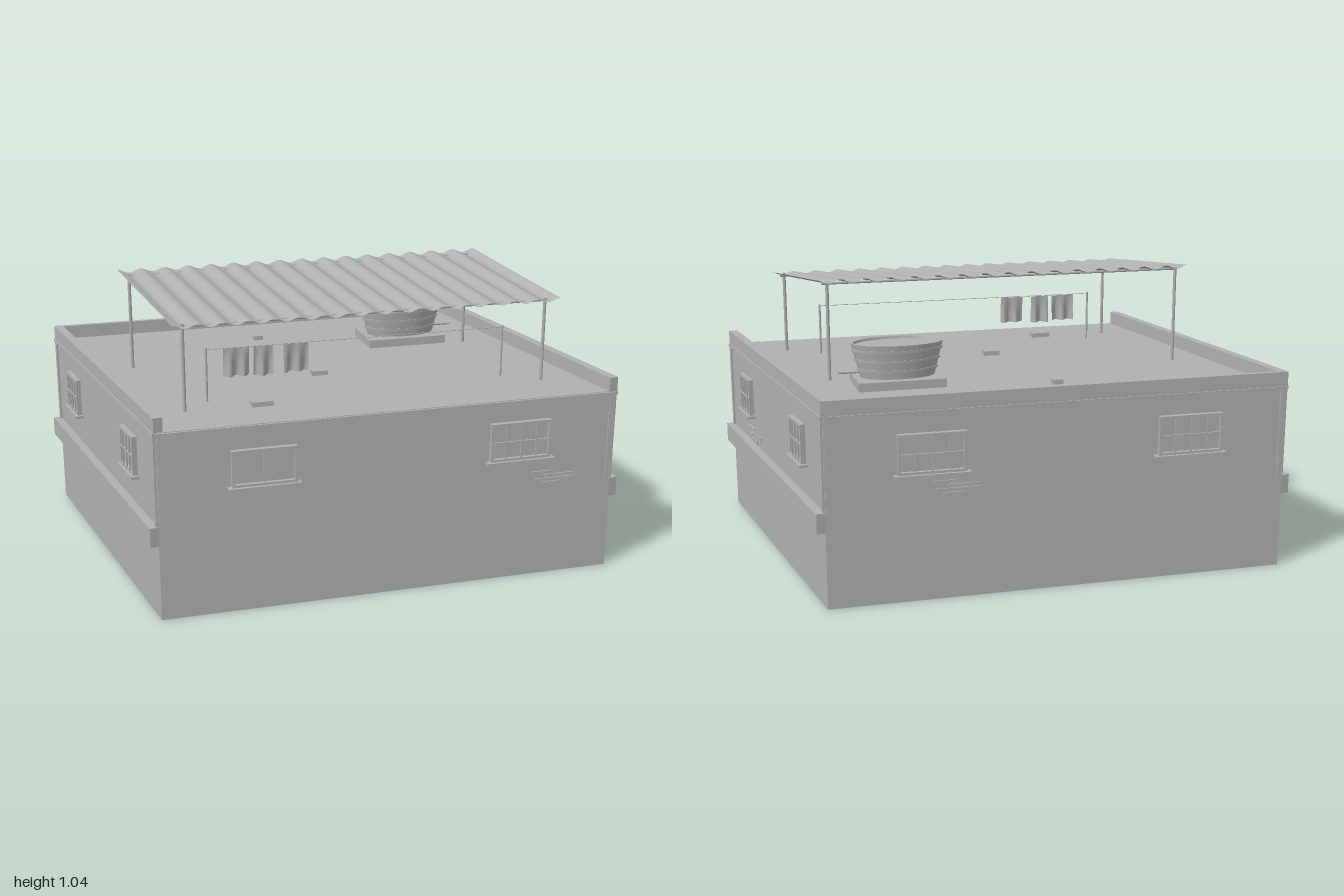
import * as THREE from 'three';
import { toCreasedNormals } from 'three/addons/utils/BufferGeometryUtils.js';

const plaster = new THREE.MeshStandardMaterial({ color: 0xb0b0b0, side: THREE.DoubleSide });
plaster.name = 'grey plaster';

// Plan corners as [x, z]; the plan is a slightly skewed parallelogram
const backLeft = [-0.97, -0.52], backRight = [0.66, -0.67];
const frontRight = [0.97, 0.52], frontLeft = [-0.66, 0.67];
const ANGLE = Math.atan2(0.15, 1.63);
const ROOF = 0.67;

function add(parent, name, geometry, x = 0, y = 0, z = 0) {
  const mesh = new THREE.Mesh(geometry, plaster);
  mesh.name = name;
  mesh.position.set(x, y, z);
  parent.add(mesh);
  return mesh;
}

const box = (parent, name, w, h, d, x, y, z) =>
  add(parent, name, new THREE.BoxGeometry(w, h, d), x, y, z);

function group(parent, name) {
  const g = new THREE.Group();
  g.name = name;
  parent.add(g);
  return g;
}

// Straight round bar between two points
function rod(parent, name, a, b, r) {
  const p = new THREE.Vector3(...a), q = new THREE.Vector3(...b);
  const mesh = add(parent, name, new THREE.CylinderGeometry(r, r, p.distanceTo(q), 8));
  mesh.position.copy(p).lerp(q, 0.5);
  mesh.quaternion.setFromUnitVectors(new THREE.Vector3(0, 1, 0), q.sub(p).normalize());
}

// Framed window with mullions and a sill; the grille adds standing bars
function addWindow(wall, x, w, h, cols, rows, grille) {
  const g = group(wall, 'window');
  g.position.set(x, 0.522, 0);
  box(g, 'pane', w, h, 0.006, 0, 0, 0.002);
  for (const s of [-1, 1]) {
    box(g, 'frameSide', 0.01, h, 0.02, s * (w / 2 - 0.005), 0, 0.008);
    box(g, 'frameRail', w, 0.01, 0.02, 0, s * (h / 2 - 0.005), 0.008);
  }
  for (let i = 1; i < cols; i++) box(g, 'mullion', 0.005, h, 0.006, w * (i / cols - 0.5), 0, grille ? 0.016 : 0.007);
  for (let i = 1; i < rows; i++) box(g, 'crossBar', w, 0.005, 0.006, 0, h * (i / rows - 0.5), grille ? 0.016 : 0.007);
  box(g, 'sill', w + 0.025, 0.01, 0.03, 0, -h / 2 - 0.004, 0.013);
}

// Patch of exposed bricks in uneven courses
function addBricks(wall, x, y) {
  const g = group(wall, 'exposedBricks');
  g.position.set(x, y, 0);
  const courses = [[-0.08, 2], [-0.03, 3], [-0.07, 4], [-0.045, 2]];
  courses.forEach(([start, count], row) => {
    for (let i = 0; i < count; i++) box(g, 'brick', 0.036, 0.011, 0.006, start + i * 0.04 + 0.018, 0.021 - row * 0.014, 0.002);
  });
}

// Wall frame: local x runs from p to q, local z points outward
function addWall(house, name, p, q, o) {
  const wall = group(house, name);
  const dx = q[0] - p[0], dz = q[1] - p[1], len = Math.hypot(dx, dz);
  wall.position.set((p[0] + q[0]) / 2, 0, (p[1] + q[1]) / 2);
  wall.rotation.y = Math.atan2(-dz, dx);
  box(wall, 'roofTrim', len, 0.012, 0.016, 0, 0.662, 0);
  for (const s of [-1, 1]) {
    box(wall, 'cornerStrip', 0.02, 0.32, 0.012, s * (len / 2 - 0.014), 0.5, 0);
    const plain = o.plainFirst && s < 0;
    addWindow(wall, s * len * 0.28, o.w, plain ? 0.13 : 0.14, plain ? 2 : 4, plain ? 1 : 2, !plain);
  }
  if (o.ledge) box(wall, 'ledge', len, 0.07, 0.034, 0, 0.305, 0.013);
  if (o.parapet) box(wall, 'parapet', len, 0.052, o.parapet, 0, 0.694, 0.004 - o.parapet / 2);
  if (o.bricks) addBricks(wall, o.bricks[0] * len, o.bricks[1]);
}

// Canopy surface: u across, v from back to front
const canopyPoint = (u, v) => [-0.73 + 1.38 * u + 0.15 * v, 1.03 - 0.06 * v, -0.09 - 0.13 * u + 0.59 * v];

function addCanopy(house) {
  const g = group(house, 'canopy');
  const sheet = new THREE.PlaneGeometry(1, 1, 128, 1), pos = sheet.attributes.position;
  for (let i = 0; i < pos.count; i++) {
    const u = pos.getX(i) + 0.5, [x, y, z] = canopyPoint(u, 0.5 - pos.getY(i));
    pos.setXYZ(i, x, y + 0.007 * Math.cos(u * Math.PI * 32), z);
  }
  sheet.computeVertexNormals();
  add(g, 'corrugatedSheet', sheet);
  for (const [x, z, top] of [[-0.545, 0.47, 0.975], [0.75, 0.35, 0.975], [-0.69, -0.06, 1.025], [0.61, -0.18, 1.025]])
    rod(g, 'post', [x, ROOF, z], [x, top, z], 0.006);
  for (const v of [0.05, 0.95]) {
    const a = canopyPoint(0.02, v), b = canopyPoint(0.98, v);
    a[1] -= 0.007;
    b[1] -= 0.007;
    rod(g, 'beam', a, b, 0.005);
  }
}

function addTank(house) {
  const g = group(house, 'waterTank');
  g.position.set(0.375, 0, -0.265);
  g.rotation.y = ANGLE;
  box(g, 'tankBase', 0.31, 0.032, 0.2, 0, 0.685, 0);
  const lathe = (name, pts) => {
    const geo = new THREE.LatheGeometry(pts.map(p => new THREE.Vector2(...p)), 24);
    geo.scale(1, 1, 0.55);
    add(g, name, toCreasedNormals(geo, 0.4));
  };
  lathe('tub', [[0, 0.7], [0.133, 0.7], [0.165, 0.823], [0.156, 0.823], [0.153, 0.814], [0, 0.814]]);
  for (const y of [0.73, 0.765, 0.8]) {
    const r = 0.133 + (y - 0.7) * 0.26;
    lathe('hoop', [[r, y - 0.004], [r + 0.004, y - 0.004], [r + 0.005, y + 0.004], [r, y + 0.004]]);
  }
  rod(g, 'outletPipe', [0.13, 0.72, 0], [0.21, 0.72, 0], 0.005);
}

function addClothesline(house) {
  const g = group(house, 'clothesline');
  const a = [-0.46, 0.855, 0.38], b = [0.62, 0.855, 0.28];
  for (const p of [a, b]) rod(g, 'linePost', [p[0], ROOF, p[2]], [p[0], 0.86, p[2]], 0.004);
  rod(g, 'line', a, b, 0.0012);
  // Rippled cloths hanging from the line
  for (const [x, w, h] of [[-0.355, 0.09, 0.1], [-0.26, 0.07, 0.105], [-0.145, 0.09, 0.1]]) {
    const cloth = new THREE.PlaneGeometry(w, h, 12, 4), pos = cloth.attributes.position;
    for (let i = 0; i < pos.count; i++) {
      const drop = 0.5 - pos.getY(i) / h;
      pos.setZ(i, 0.012 * drop * Math.sin(pos.getX(i) * 130 + x * 40));
    }
    cloth.computeVertexNormals();
    const z = 0.38 - 0.1 * (x + 0.46) / 1.08;
    add(g, 'cloth', cloth, x, 0.853 - h / 2, z).rotation.y = ANGLE;
  }
}

export function createModel() {
  const house = new THREE.Group();
  house.name = 'house';

  // Solid body with a flat roof
  const plan = new THREE.Shape([frontLeft, frontRight, backRight, backLeft].map(([x, z]) => new THREE.Vector2(x, -z)));
  const body = new THREE.ExtrudeGeometry(plan, { depth: ROOF, bevelEnabled: false });
  body.rotateX(-Math.PI / 2);
  add(house, 'body', body);

  addWall(house, 'frontWall', frontLeft, frontRight, { w: 0.225, plainFirst: true, bricks: [0.36, 0.37] });
  addWall(house, 'rightWall', frontRight, backRight, { w: 0.14, ledge: true, parapet: 0.032, bricks: [-0.22, 0.373] });
  addWall(house, 'backWall', backRight, backLeft, { w: 0.235, parapet: 0.018, bricks: [-0.23, 0.395] });
  addWall(house, 'leftWall', backLeft, frontLeft, { w: 0.14, ledge: true, parapet: 0.032 });

  addCanopy(house);
  addTank(house);
  addClothesline(house);

  // Loose blocks on the roof
  for (const [x, z, w, d] of [[-0.28, 0.45, 0.075, 0.04], [-0.025, 0.14, 0.06, 0.035], [-0.18, -0.36, 0.036, 0.03]])
    box(house, 'roofBlock', w, 0.018, d, x, ROOF + 0.008, z).rotation.y = ANGLE;

  return house;
}
